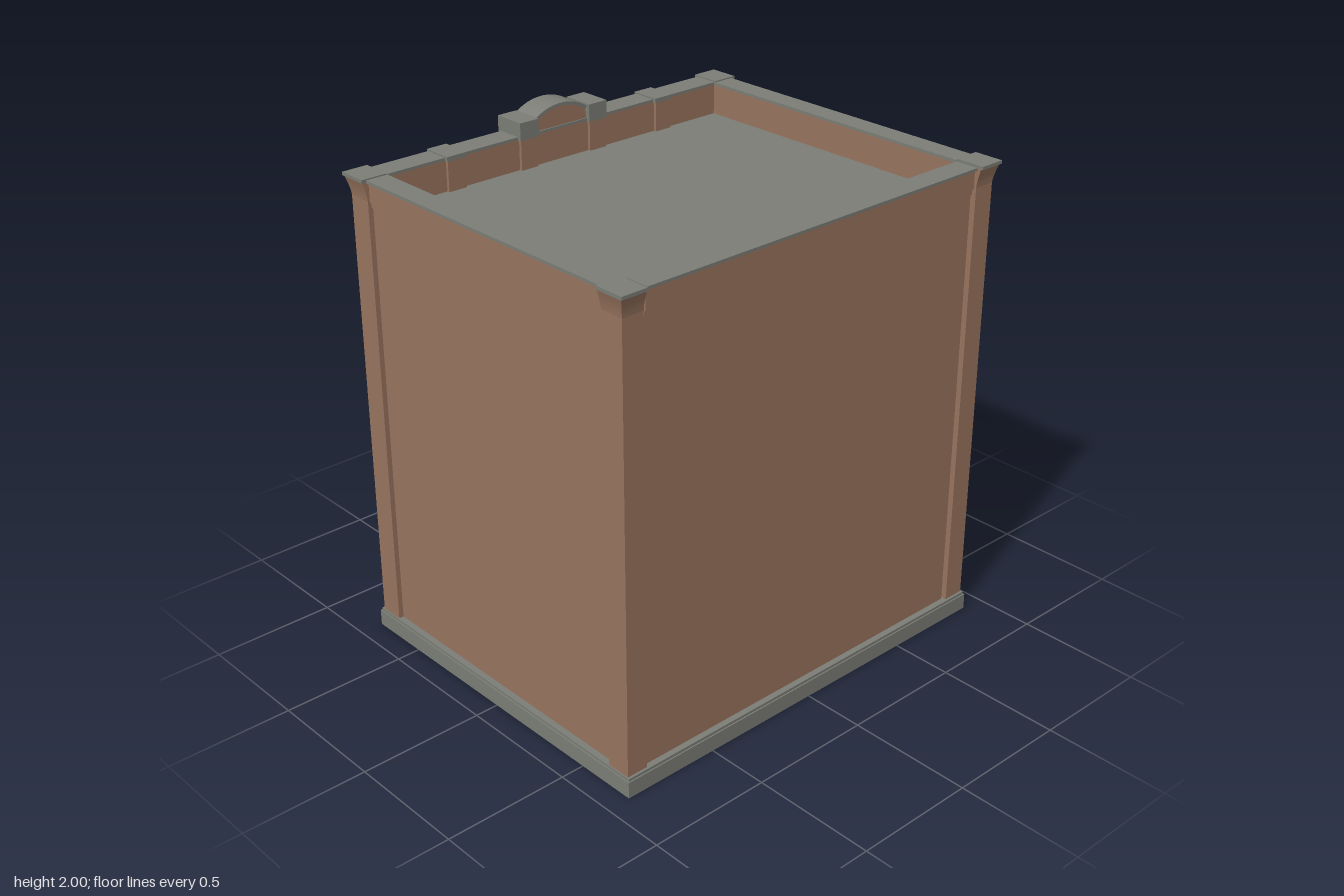
import * as THREE from 'three';

const brick = new THREE.MeshStandardMaterial({ color: 0x98745e });
const stone = new THREE.MeshStandardMaterial({ color: 0x7b7d76 });
const glass = new THREE.MeshStandardMaterial({ color: 0x6b7570 });
brick.name = 'brick';
stone.name = 'stone';
glass.name = 'window glass';

// Box given by its minimum and maximum corners
function block(parent, name, mat, [x0, y0, z0], [x1, y1, z1]) {
  const m = new THREE.Mesh(new THREE.BoxGeometry(x1 - x0, y1 - y0, z1 - z0), mat);
  m.position.set((x0 + x1) / 2, (y0 + y1) / 2, (z0 + z1) / 2);
  m.name = name;
  parent.add(m);
}

// Flat outline pushed out from depth d0 to d1
function slab(parent, name, mat, shape, d0, d1) {
  const geo = new THREE.ExtrudeGeometry(shape, { depth: d1 - d0, bevelEnabled: false, curveSegments: 16 });
  const m = new THREE.Mesh(geo, mat);
  m.position.z = d0;
  m.name = name;
  parent.add(m);
}

// Window outline; y1 is the crown when arched
function opening(Type, cx, w, y0, y1, arched) {
  const s = new Type(), r = w / 2;
  s.moveTo(cx - r, y0);
  s.lineTo(cx + r, y0);
  if (arched) {
    s.lineTo(cx + r, y1 - r);
    s.absarc(cx, y1 - r, r, 0, Math.PI, false);
  } else {
    s.lineTo(cx + r, y1);
    s.lineTo(cx - r, y1);
  }
  s.closePath();
  return s;
}

// Band between two radii, spanning the given half angle about the crown
function archRing(cx, cy, inner, outer, half) {
  const s = new THREE.Shape(), a0 = Math.PI / 2 - half, a1 = Math.PI / 2 + half;
  s.absarc(cx, cy, outer, a0, a1, false);
  s.absarc(cx, cy, inner, a1, a0, true);
  s.closePath();
  return s;
}

// Corner pier whose top flares outward under a stone cap
function cornerPier(sx, sz) {
  const g = new THREE.Group();
  g.name = 'cornerPier';
  const span = (a, b, s) => (s > 0 ? [a, b] : [-b, -a]);
  const [x0, x1] = span(0.635, 0.735, sx), [z0, z1] = span(0.805, 0.895, sz);
  block(g, 'pierShaft', brick, [x0, 0, z0], [x1, 1.83, z1]);
  const geo = new THREE.BoxGeometry(x1 - x0, 0.075, z1 - z0, 1, 4, 1);
  const p = geo.attributes.position;
  for (let i = 0; i < p.count; i++) {
    const t = Math.max(0, p.getY(i) / 0.075 + 0.5), out = 0.017 * Math.pow(t, 1.5);
    if (p.getX(i) * sx > 0) p.setX(i, p.getX(i) + sx * out);
    if (p.getZ(i) * sz > 0) p.setZ(i, p.getZ(i) + sz * out);
  }
  geo.computeVertexNormals();
  const flare = new THREE.Mesh(geo, brick);
  flare.name = 'pierFlare';
  flare.position.set((x0 + x1) / 2, 1.8675, (z0 + z1) / 2);
  g.add(flare);
  const [cx0, cx1] = span(0.635, 0.757, sx), [cz0, cz1] = span(0.808, 0.915, sz);
  block(g, 'pierCap', stone, [cx0, 1.903, cz0], [cx1, 1.916, cz1]);
  return g;
}

// Street facade: local x runs along world z, local z points to world -x
function facade() {
  const g = new THREE.Group();
  g.name = 'facade';
  g.rotation.y = -Math.PI / 2;
  const bays = [-0.685, -0.34, 0, 0.335, 0.68];
  const rows = [
    { y0: 0.075, y1: 0.4, arched: true },
    { y0: 0.475, y1: 0.7, arched: false },
    { y0: 0.825, y1: 1.05, arched: false },
    { y0: 1.16, y1: 1.385, arched: false },
    { y0: 1.475, y1: 1.74, arched: true },
  ];
  const W = 0.16;

  // Doorway is cut into the lower edge of the last bay
  const wall = new THREE.Shape();
  wall.moveTo(-0.82, 0);
  wall.lineTo(0.6, 0);
  wall.lineTo(0.6, 0.32);
  wall.absarc(0.68, 0.32, W / 2, Math.PI, 0, true);
  wall.lineTo(0.76, 0);
  wall.lineTo(0.82, 0);
  wall.lineTo(0.82, 1.9);
  wall.lineTo(-0.82, 1.9);
  wall.closePath();

  bays.forEach((cx, b) => rows.forEach(({ y0, y1, arched }, r) => {
    const door = b === 4 && r === 0, bottom = door ? 0 : y0;
    if (!door) wall.holes.push(opening(THREE.Path, cx, W, y0, y1, arched));
    const frame = opening(THREE.Shape, cx, W, bottom, y1, arched);
    frame.holes.push(opening(THREE.Path, cx, W - 0.03, bottom + 0.015, y1 - 0.015, arched));
    slab(g, door ? 'doorFrame' : 'windowFrame', stone, frame, 0.672, 0.69);
    slab(g, door ? 'doorGlass' : 'windowGlass', glass, opening(THREE.Shape, cx, W, bottom, y1, arched), 0.668, 0.676);
    if (arched) slab(g, 'archHood', stone, archRing(cx, y1 - W / 2, W / 2, W / 2 + 0.025, Math.PI / 2), 0.7, 0.722);
    if (r > 0) block(g, 'windowSill', stone, [cx - 0.09, y0 - 0.018, 0.69], [cx + 0.09, y0, 0.717]);
  }));
  slab(g, 'facadeWall', brick, wall, 0.64, 0.707);

  // Brick pilasters between the bays, each with a capped stub on the parapet
  [-0.515, -0.172, 0.165, 0.505].forEach((cx, i) => {
    const besidePediment = i === 1 || i === 2;
    block(g, 'pilaster', brick, [cx - 0.042, 0, 0.7], [cx + 0.042, 1.9, 0.735]);
    block(g, 'parapetStub', brick, [cx - 0.04, 1.78, 0.628], [cx + 0.04, 1.9, 0.65]);
    block(g, 'pilasterCap', stone, [cx - 0.044, 1.898, 0.625],
      [cx + 0.044, besidePediment ? 1.968 : 1.917, besidePediment ? 0.76 : 0.75]);
  });
  block(g, 'facadeCorbel', brick, [-0.81, 1.84, 0.7], [0.81, 1.9, 0.722]);
  block(g, 'facadeCoping', stone, [-0.81, 1.9, 0.64], [0.81, 1.911, 0.742]);

  // Curved pediment over the middle bay
  const R = 0.231, cy = 1.769, a = Math.asin(0.13 / R);
  const segment = new THREE.Shape();
  segment.moveTo(-0.13, 1.905);
  segment.lineTo(0.13, 1.905);
  segment.absarc(0, cy, R - 0.012, Math.PI / 2 - a, Math.PI / 2 + a, false);
  segment.closePath();
  slab(g, 'pedimentPanel', brick, segment, 0.645, 0.745);
  slab(g, 'pedimentRim', stone, archRing(0, cy, R - 0.013, R, a), 0.64, 0.757);

  // Stone base, broken at the doorway
  [[-0.905, 0.55], [0.79, 0.905]].forEach(([u0, u1]) => {
    block(g, 'facadeBase', stone, [u0, 0, 0.7], [u1, 0.066, 0.75]);
    block(g, 'facadeBaseTop', stone, [u0 + 0.005, 0.066, 0.7], [u1 - 0.005, 0.077, 0.745]);
  });
  return g;
}

// Plain wall with corbel, coping and base; local z points outward
function plainWall(half, inner, face, angle) {
  const g = new THREE.Group();
  g.name = 'plainWall';
  g.rotation.y = angle;
  block(g, 'wallPanel', brick, [-half, 0, inner], [half, 1.9, face]);
  block(g, 'wallCorbel', brick, [-half, 1.825, face - 0.01], [half, 1.9, face + 0.012]);
  block(g, 'corbelStep', brick, [-half, 1.805, face - 0.01], [half, 1.825, face + 0.006]);
  block(g, 'wallCoping', stone, [-half, 1.9, inner], [half, 1.911, face + 0.022]);
  const e = half + 0.11;
  block(g, 'wallBase', stone, [-e, 0, face - 0.005], [e, 0.066, face + 0.03]);
  block(g, 'wallBaseTop', stone, [-e + 0.005, 0.066, face - 0.005], [e - 0.005, 0.077, face + 0.025]);
  return g;
}

export function createModel() {
  const model = new THREE.Group();
  model.name = 'building';
  model.add(facade());
  model.add(plainWall(0.64, 0.805, 0.875, 0));
  model.add(plainWall(0.64, 0.805, 0.875, Math.PI));
  model.add(plainWall(0.795, 0.645, 0.72, Math.PI / 2));
  for (const sx of [-1, 1]) for (const sz of [-1, 1]) model.add(cornerPier(sx, sz));
  block(model, 'roof', stone, [-0.65, 1.765, -0.815], [0.655, 1.78, 0.815]);
  return model;
}
